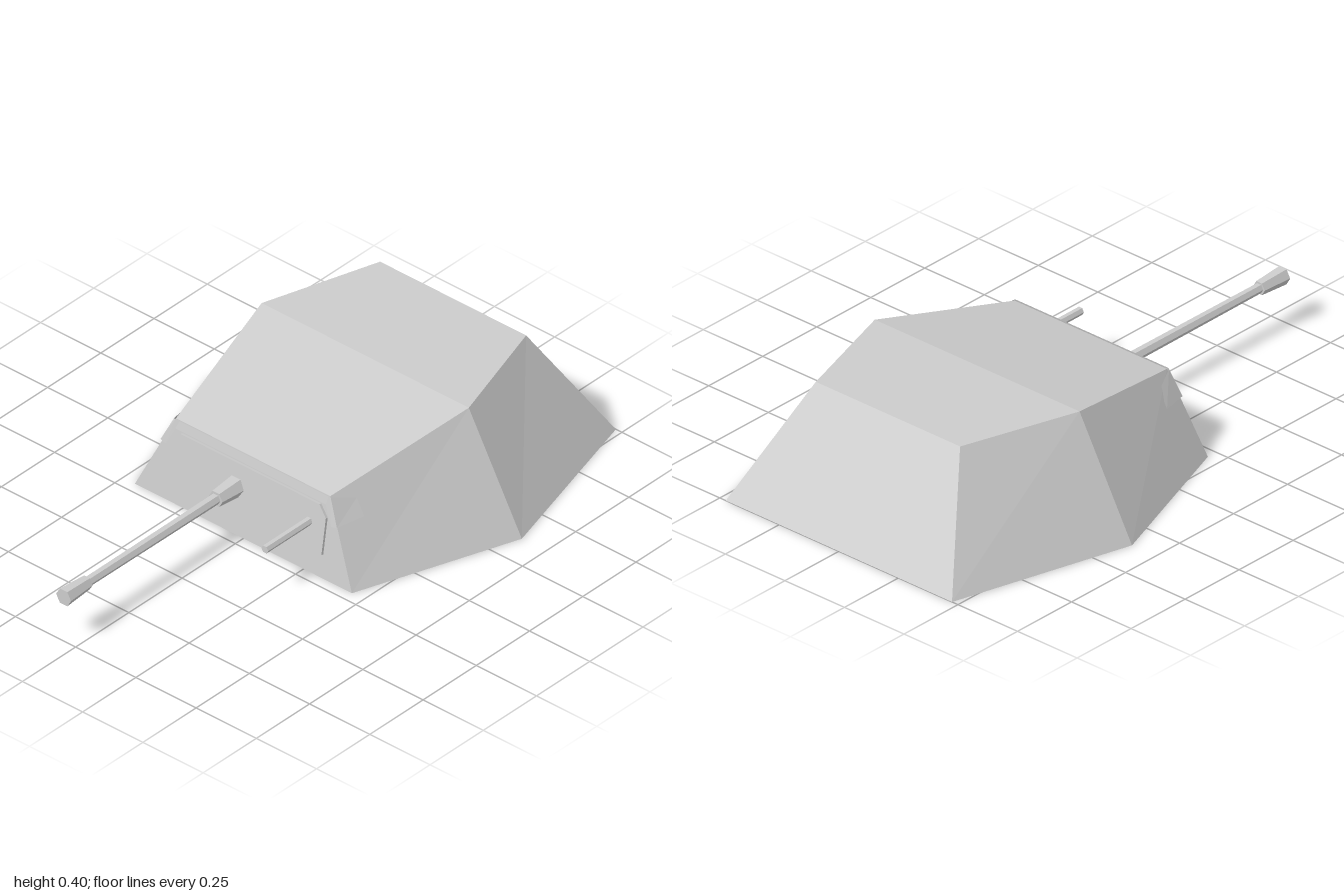
import * as THREE from 'three';

const material = new THREE.MeshStandardMaterial({ color: 0xcccccc, flatShading: true });
const sheetMaterial = new THREE.MeshStandardMaterial({ color: 0xcccccc, flatShading: true, side: THREE.DoubleSide });

// Flat-faced geometry from corner points and a list of quads or triangles.
function facets(points, faces) {
  const pos = [];
  for (const f of faces)
    for (let i = 1; i < f.length - 1; i++)
      for (const k of [f[0], f[i], f[i + 1]]) pos.push(...points[k]);
  const g = new THREE.BufferGeometry();
  g.setAttribute('position', new THREE.Float32BufferAttribute(pos, 3));
  g.computeVertexNormals();
  return g;
}

function part(group, name, geometry, mat = material) {
  const mesh = new THREE.Mesh(geometry, mat);
  mesh.name = name;
  group.add(mesh);
  return mesh;
}

// Mirrors the +x half of a ring, keeping it in order around the shape.
const mirrored = half => [...half, ...half.map(([x, y, z]) => [-x, y, z]).reverse()];

// Six-sided tube running along z, with a corner on either side.
function tube(group, name, x, y, z0, z1, r0, r1) {
  const g = new THREE.CylinderGeometry(r1, r0, z1 - z0, 6, 1, false, Math.PI / 6);
  g.rotateX(Math.PI / 2);
  part(group, name, g).position.set(x, y, (z0 + z1) / 2);
}

export function createModel() {
  const model = new THREE.Group();
  model.name = 'turret';

  // Armoured shell: six-sided base and roof, with the roof sloping down in front
  const base = mirrored([[0.45, 0, 0.212], [0.65, 0, -0.36], [0.475, 0, -1]]);
  const roof = mirrored([[0.32, 0.284, 0.166], [0.43, 0.395, -0.36], [0.303, 0.395, -0.773]]);
  const faces = [[5, 4, 3, 2, 1, 0], [6, 7, 10, 11], [7, 8, 9, 10]];
  for (let i = 0; i < 6; i++) {
    const j = (i + 1) % 6;
    faces.push([i, j, j + 6, i + 6]);
  }
  part(model, 'turretShell', facets([...base, ...roof], faces));

  // Thin gun plate with clipped upper corners, leaning with the front face
  const outline = new THREE.Shape([
    [-0.32, 0], [0.32, 0], [0.32, 0.13], [0.288, 0.167], [-0.288, 0.167], [-0.32, 0.13],
  ].map(([x, y]) => new THREE.Vector2(x, y)));
  const plate = part(model, 'gunPlate', new THREE.ExtrudeGeometry(outline, { depth: 0.012, bevelEnabled: false }));
  plate.position.set(0, 0.08, 0.196);
  plate.rotation.x = -Math.atan(0.162);

  // Rain guard strip along the front edge, folded around both corners
  const top = mirrored([[0.36, 0.256, 0.087], [0.325, 0.284, 0.17], [0.318, 0.285, 0.172], [0.3, 0.285, 0.172]]);
  const bottom = mirrored([[0.392, 0.2, 0.087], [0.366, 0.195, 0.187], [0.343, 0.19, 0.189], [0.312, 0.256, 0.179]]);
  const strips = [];
  for (let i = 0; i < 7; i++) strips.push([i, i + 1, i + 9, i + 8]);
  part(model, 'rainGuard', facets([...top, ...bottom], strips), sheetMaterial);

  // Main gun
  const gun = new THREE.Group();
  gun.name = 'mainGun';
  model.add(gun);
  tube(gun, 'gunCollar', -0.05, 0.165, 0.19, 0.285, 0.036, 0.028);
  tube(gun, 'gunBarrel', -0.05, 0.165, 0.28, 0.9, 0.019, 0.017);
  tube(gun, 'gunMuzzle', -0.05, 0.165, 0.89, 1, 0.024, 0.031);

  // Small secondary gun on the left
  tube(model, 'secondaryGun', 0.255, 0.174, 0.18, 0.4, 0.014, 0.014);

  return model;
}
